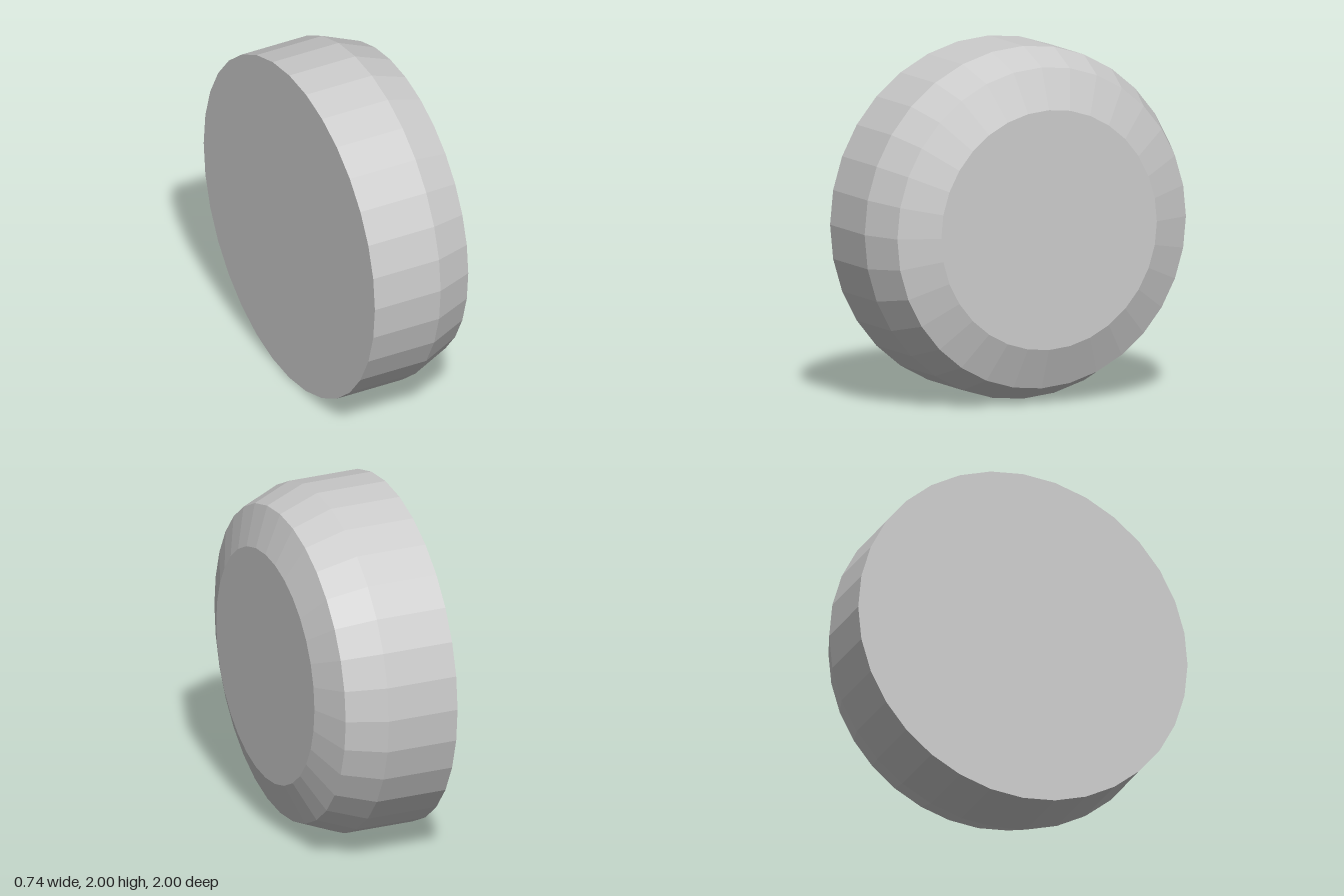
import * as THREE from 'three';

export function createModel() {
  const group = new THREE.Group();
  const material = new THREE.MeshStandardMaterial({ color: 0xcccccc, flatShading: true });

  // Half profile [radius, position along the axle], from flat back to bevelled face
  const profile = [[0, -0.37], [1, -0.37], [1, 0.05], [0.91, 0.275], [0.68, 0.365], [0, 0.365]]
    .map(([r, a]) => new THREE.Vector2(r, a));

  // Spin around the axle, then lay the axle along x
  const geometry = new THREE.LatheGeometry(profile, 32);
  geometry.rotateZ(-Math.PI / 2);

  const wheel = new THREE.Mesh(geometry, material);
  wheel.name = 'wheel';
  wheel.position.y = 1;
  group.add(wheel);
  return group;
}
